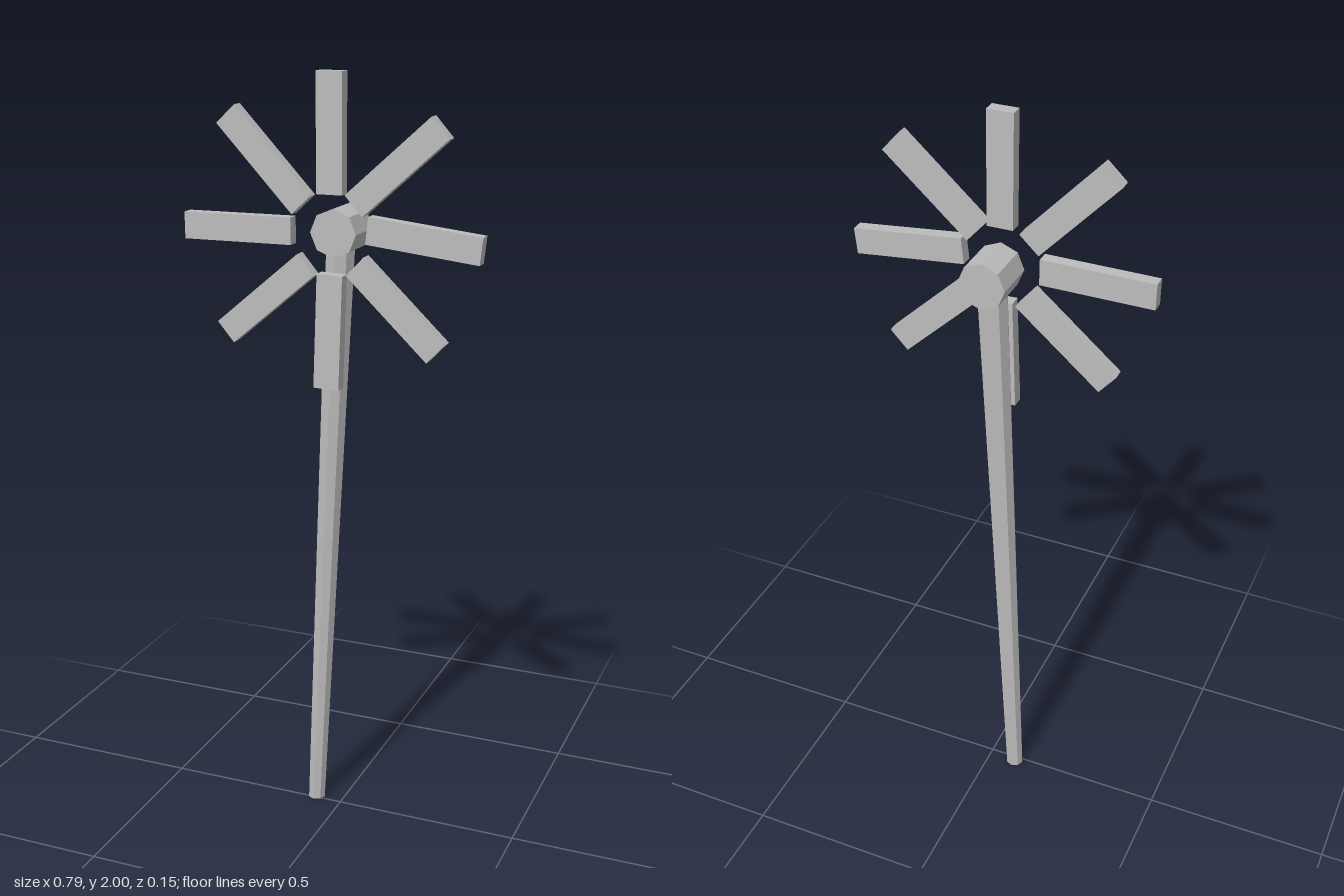
import * as THREE from 'three';

export function createModel() {
  const model = new THREE.Group();
  model.name = 'windPump';
  const grey = new THREE.MeshStandardMaterial({ color: 0xbcbcbc, flatShading: true });
  grey.name = 'plain grey';

  const add = (name, geometry, x, y, z) => {
    const mesh = new THREE.Mesh(geometry, grey);
    mesh.name = name;
    mesh.position.set(x, y, z);
    model.add(mesh);
    return mesh;
  };

  // Leaning eight-sided pole, wider at the top, with level ends
  const height = 1.57;
  const pole = new THREE.CylinderGeometry(0.039, 0.024, height, 8);
  pole.applyMatrix4(new THREE.Matrix4().set(
    1, 0.072 / height, 0, 0,
    0, 1, 0, 0,
    0, 0, 1, 0,
    0, 0, 0, 1));
  add('pole', pole, -0.04, height / 2, -0.012);

  // Hub lying along z
  const hub = new THREE.CylinderGeometry(0.061, 0.061, 0.119, 8).rotateX(Math.PI / 2);
  add('hub', hub, -0.002, 1.61, -0.0155);

  // Slightly uneven ring of flat blades: centre x, centre y, angle in degrees
  const blades = [
    [0, 1.855, 90], [0.172, 1.782, 41.7], [0.243, 1.612, -6.2], [0.173, 1.438, -43.5],
    [-0.005, 1.366, -92], [-0.175, 1.439, 220.2], [-0.249, 1.613, 180.4], [-0.175, 1.786, 133.2],
  ];
  const bladeShape = new THREE.BoxGeometry(0.292, 0.068, 0.033);
  blades.forEach(([x, y, angle], i) => {
    add(`blade${i + 1}`, bladeShape, x, y, 0.0565).rotation.z = THREE.MathUtils.degToRad(angle);
  });

  return model;
}
